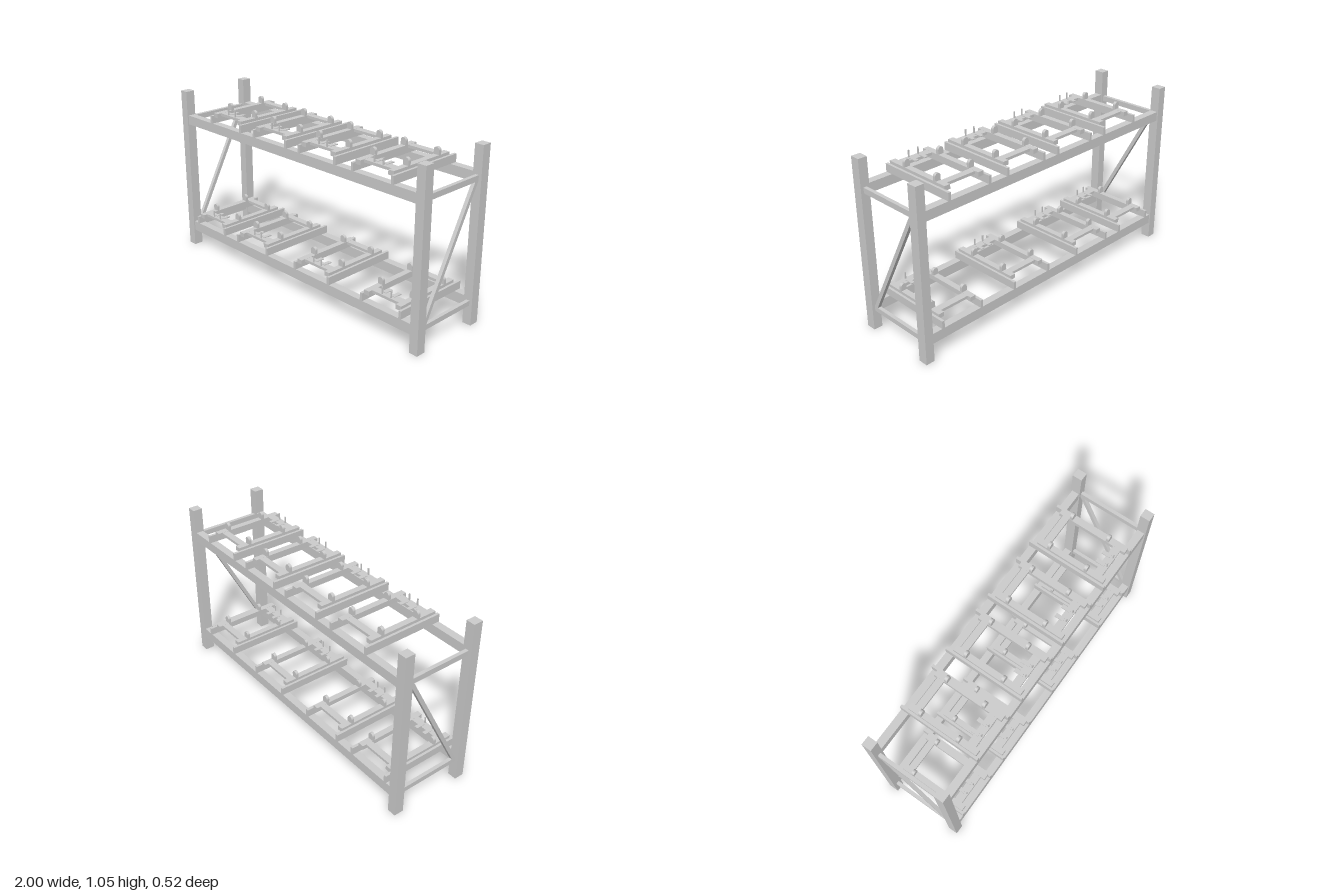
import * as THREE from 'three';

const material = new THREE.MeshStandardMaterial({ color: 0xcccccc, flatShading: true });

// Box given by its minimum and maximum along each axis
function addBox(parent, name, [x0, x1], [y0, y1], [z0, z1]) {
  const mesh = new THREE.Mesh(new THREE.BoxGeometry(x1 - x0, y1 - y0, z1 - z0), material);
  mesh.position.set((x0 + x1) / 2, (y0 + y1) / 2, (z0 + z1) / 2);
  mesh.name = name;
  parent.add(mesh);
  return mesh;
}

// Round-topped roller stop, extruded along z
function makeLugGeometry() {
  const r = 0.018;
  const shape = new THREE.Shape();
  shape.moveTo(-r, 0);
  shape.lineTo(r, 0);
  shape.lineTo(r, 0.025);
  shape.absarc(0, 0.025, r, 0, Math.PI, false);
  shape.closePath();
  const geometry = new THREE.ExtrudeGeometry(shape, { depth: 0.018, bevelEnabled: false, curveSegments: 10 });
  geometry.translate(0, 0, -0.009);
  return geometry;
}

// One cradle, resting on beams whose top is at y = 0
function makeCradle(lugGeometry) {
  const cradle = new THREE.Group();
  cradle.name = 'cradle';
  for (const s of [-1, 1]) {
    const span = (a, b) => (s > 0 ? [a, b] : [-b, -a]);
    // Outer bearer lies across both beams, inner rail sits against it
    addBox(cradle, 'bearer', span(0.131, 0.148), [0, 0.048], [-0.254, 0.254]);
    addBox(cradle, 'innerRail', span(0.096, 0.133), [0.038, 0.065], [-0.21, 0.237]);
    for (const z of [-0.13, 0.117]) {
      const lug = new THREE.Mesh(lugGeometry, material);
      lug.name = 'rollerLug';
      lug.position.set(s * 0.115, 0.065, z);
      cradle.add(lug);
    }
    // Locating tab with an upright pin
    addBox(cradle, 'tab', span(0.02, 0.044), [0.062, 0.068], [0.13, 0.185]);
    addBox(cradle, 'pin', span(0.028, 0.036), [0.06, 0.106], [0.198, 0.204]);
  }
  addBox(cradle, 'backCrossbar', [-0.1, 0.1], [0.048, 0.0645], [-0.185, -0.142]);
  addBox(cradle, 'frontCrossbar', [-0.1, 0.1], [0.048, 0.0645], [0.16, 0.21]);
  return cradle;
}

export function createModel() {
  const rack = new THREE.Group();
  rack.name = 'storageRack';

  // Corner posts
  for (const x of [-1, 0.945])
    for (const z of [-0.26, 0.2])
      addBox(rack, 'post', [x, x + 0.055], [0, 1.055], [z, z + 0.06]);

  // End frames: two horizontal braces and a diagonal
  const lowEnd = new THREE.Vector2(0.187, 0.15);
  const highEnd = new THREE.Vector2(-0.187, 0.856);
  const run = highEnd.clone().sub(lowEnd);
  for (const x of [-0.972, 0.972]) {
    const across = [x - 0.011, x + 0.011];
    addBox(rack, 'lowerBrace', across, [0.12, 0.15], [-0.2, 0.2]);
    addBox(rack, 'upperBrace', across, [0.855, 0.888], [-0.2, 0.2]);
    // Parallelogram outline in (z, y), so its ends lie flush on the braces
    const w = 0.0135;
    const shape = new THREE.Shape([
      new THREE.Vector2(-lowEnd.x - w, lowEnd.y),
      new THREE.Vector2(-lowEnd.x + w, lowEnd.y),
      new THREE.Vector2(-lowEnd.x - run.x + w, highEnd.y),
      new THREE.Vector2(-lowEnd.x - run.x - w, highEnd.y),
    ]);
    const geometry = new THREE.ExtrudeGeometry(shape, { depth: 0.022, bevelEnabled: false });
    geometry.rotateY(Math.PI / 2);
    const diagonal = new THREE.Mesh(geometry, material);
    diagonal.name = 'diagonalBrace';
    diagonal.position.x = x - 0.011;
    rack.add(diagonal);
  }

  // Two levels: front and back beams carrying four cradles each
  const lugGeometry = makeLugGeometry();
  const levels = [
    { name: 'lowerLevel', bottom: 0.105, top: 0.167, cradles: [-0.76, -0.346, 0.189, 0.727] },
    { name: 'upperLevel', bottom: 0.842, top: 0.9, cradles: [-0.562, -0.158, 0.234, 0.645] },
  ];
  for (const { name, bottom, top, cradles } of levels) {
    const level = new THREE.Group();
    level.name = name;
    addBox(level, 'frontBeam', [-0.946, 0.946], [bottom, top], [0.205, 0.252]);
    addBox(level, 'backBeam', [-0.946, 0.946], [bottom, top], [-0.252, -0.205]);
    for (const x of cradles) {
      const cradle = makeCradle(lugGeometry);
      cradle.position.set(x, top, 0);
      level.add(cradle);
    }
    rack.add(level);
  }
  return rack;
}
